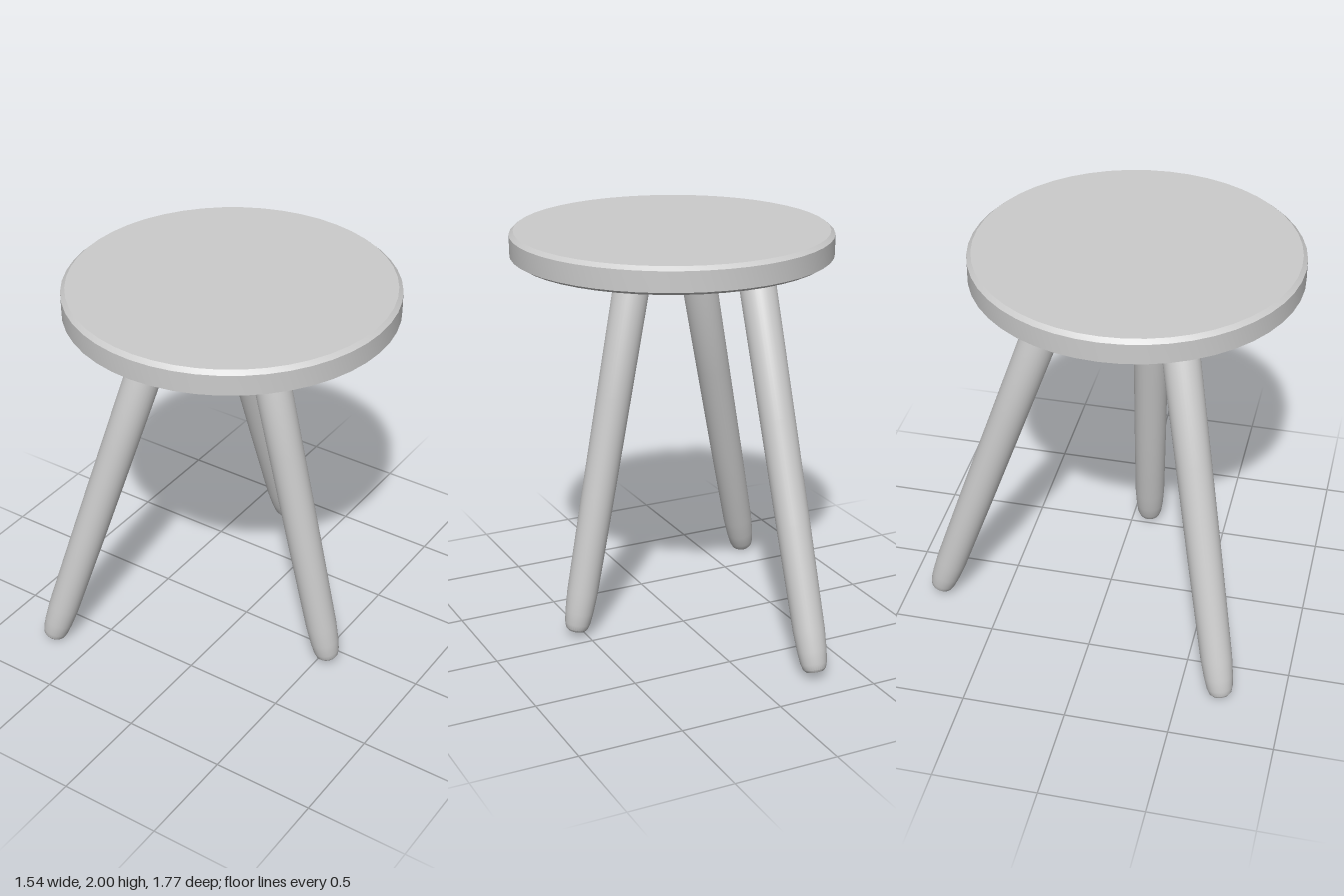
import * as THREE from 'three';
import { toCreasedNormals } from 'three/addons/utils/BufferGeometryUtils.js';

const material = new THREE.MeshStandardMaterial({ color: 0xcccccc });

// Turned part from [radius, height] pairs, listed bottom to top
function turned(name, profile, sides) {
  const points = profile.map(([r, y]) => new THREE.Vector2(r, y));
  const geometry = toCreasedNormals(new THREE.LatheGeometry(points, sides), 0.5);
  const mesh = new THREE.Mesh(geometry, material);
  mesh.name = name;
  return mesh;
}

// Tapered leg with a rounded foot and a chamfered top, leaning from foot to top
function leg(name, foot, top) {
  const start = new THREE.Vector3(...foot);
  const axis = new THREE.Vector3(...top).sub(start);
  const length = axis.length();
  const mesh = turned(name, [
    [0, 0], [0.042, 0], [0.054, 0.012], [0.063, 0.04], [0.07, 0.1], [0.076, 0.2],
    [0.081, 0.7], [0.084, 1.2], [0.088, length - 0.03], [0.083, length - 0.012],
    [0.07, length], [0, length],
  ], 32);
  mesh.position.copy(start);
  mesh.quaternion.setFromUnitVectors(new THREE.Vector3(0, 1, 0), axis.normalize());
  return mesh;
}

export function createModel() {
  const model = new THREE.Group();
  model.name = 'stool';

  // Round seat with bevelled rims
  const seat = turned('seat', [
    [0, 1.87], [0.745, 1.87], [0.77, 1.885], [0.77, 1.982], [0.75, 2], [0, 2],
  ], 48);
  seat.position.z = 0.12;
  model.add(seat);

  // Three splayed legs
  model.add(
    leg('frontRightLeg', [-0.71, 0.015, 0.70], [-0.217, 1.875, 0.34]),
    leg('backLeg', [-0.28, 0.04, -0.83], [-0.275, 1.885, -0.185]),
    leg('leftLeg', [0.546, 0.032, 0.09], [0.166, 1.9, 0.155]),
  );
  return model;
}
